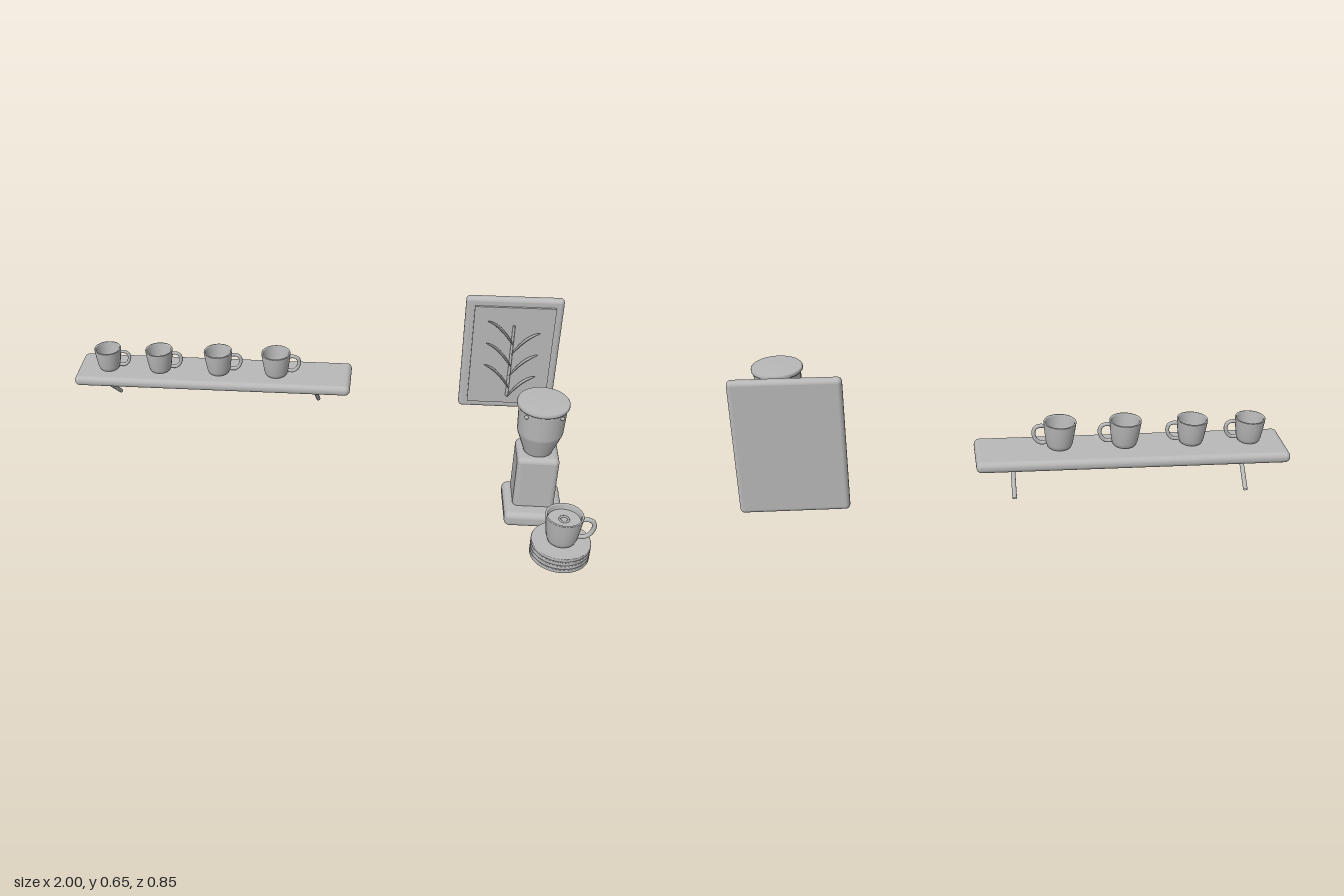
import * as THREE from 'three';
import { RoundedBoxGeometry } from 'three/addons/geometries/RoundedBoxGeometry.js';

const clay = new THREE.MeshStandardMaterial({ color: 0xb8b8b8, side: THREE.DoubleSide });
clay.name = 'warm grey clay';

function part(name, geometry, x = 0, y = 0, z = 0) {
  const mesh = new THREE.Mesh(geometry, clay);
  mesh.name = name;
  mesh.position.set(x, y, z);
  return mesh;
}

const box = (w, h, d, r) => new RoundedBoxGeometry(w, h, d, 4, r);

const lathe = (points, segments = 40) =>
  new THREE.LatheGeometry(points.map(([r, y]) => new THREE.Vector2(r, y)), segments);

// Hollow cup with a loop handle on its +x side
function makeCup(name, x, y, z, scale) {
  const cup = new THREE.Group();
  cup.name = name;
  cup.add(part('cupBowl', lathe([
    [0, 0], [0.044, 0], [0.05, 0.006], [0.056, 0.022], [0.063, 0.07], [0.068, 0.113],
    [0.0675, 0.116], [0.062, 0.116], [0.06, 0.112], [0.055, 0.07], [0.048, 0.024], [0.04, 0.014], [0, 0.012],
  ])));
  const loop = new THREE.CatmullRomCurve3([
    [0.062, 0.096], [0.082, 0.099], [0.102, 0.09], [0.109, 0.066], [0.1, 0.039], [0.08, 0.022], [0.054, 0.022],
  ].map(([px, py]) => new THREE.Vector3(px, py, 0)));
  cup.add(part('cupHandle', new THREE.TubeGeometry(loop, 32, 0.0085, 10)));
  cup.position.set(x, y, z);
  cup.scale.setScalar(scale);
  return cup;
}

// Wall shelf on two diagonal struts, with a row of cups
function makeShelf() {
  const shelf = new THREE.Group();
  shelf.name = 'cupShelf';
  shelf.add(part('shelfBoard', box(1.09, 0.041, 0.2, 0.019), -0.455, 0.3005, -0.323));
  for (const x of [-0.862, -0.044]) {
    const strut = new THREE.LineCurve3(new THREE.Vector3(x, 0.285, -0.245), new THREE.Vector3(x, 0.161, -0.387));
    shelf.add(part('shelfStrut', new THREE.TubeGeometry(strut, 1, 0.008, 10)));
  }
  [[-0.874, 0.77], [-0.669, 0.79], [-0.434, 0.82], [-0.205, 0.84]].forEach(([x, s]) =>
    shelf.add(makeCup('shelfCup', x, 0.321, -0.312, s)));
  return shelf;
}

// Leaf: a sphere bent along an arching midrib and flattened
function leafGeometry() {
  const rib = new THREE.QuadraticBezierCurve(
    new THREE.Vector2(0, 0), new THREE.Vector2(0.045, 0.082), new THREE.Vector2(0.102, 0.1));
  const geometry = new THREE.SphereGeometry(1, 20, 16);
  const pos = geometry.attributes.position;
  for (let i = 0; i < pos.count; i++) {
    const t = THREE.MathUtils.clamp((pos.getY(i) + 1) / 2, 0, 1);
    const p = rib.getPoint(t);
    const d = rib.getTangent(t);
    const across = pos.getX(i) * 0.006 - pos.getZ(i) * 0.007;
    pos.setXYZ(i, p.x + d.y * across, p.y - d.x * across, pos.getZ(i) * 0.02);
  }
  geometry.computeVertexNormals();
  return geometry;
}

// Framed relief of a leafy sprig
function makePicture() {
  const picture = new THREE.Group();
  picture.name = 'botanicalPicture';
  picture.add(part('frameBoard', box(0.373, 0.496, 0.036, 0.016), 0.711, 0.405, -0.399));
  picture.add(part('innerPanel', new THREE.BoxGeometry(0.31, 0.432, 0.012), 0.713, 0.405, -0.378));
  picture.add(part('sprigStem', new THREE.CylinderGeometry(0.005, 0.006, 0.32, 10), 0.713, 0.385, -0.369));
  const leaf = leafGeometry();
  for (let i = 0; i < 3; i++) {
    for (const side of [-1, 1]) {
      const y = (side < 0 ? 0.468 : 0.422) - i * 0.098;
      const mesh = part('sprigLeaf', leaf, 0.713, y, -0.356);
      mesh.scale.x = side;
      picture.add(mesh);
    }
  }
  return picture;
}

// Grinder: base, body, flared hopper, lid and two studs
function makeGrinder() {
  const grinder = new THREE.Group();
  grinder.name = 'grinder';
  grinder.add(part('grinderBase', box(0.214, 0.06, 0.214, 0.022), 0, 0.04, 0.023));
  grinder.add(part('grinderBody', box(0.152, 0.225, 0.15, 0.02), 0, 0.168, 0));
  grinder.add(part('hopper', lathe([
    [0, 0.275], [0.051, 0.275], [0.054, 0.285], [0.081, 0.36], [0.083, 0.372], [0.087, 0.477],
  ])));
  grinder.add(part('hopperLid', lathe([
    [0, 0.474], [0.092, 0.474], [0.094, 0.477], [0.094, 0.486], [0.091, 0.49], [0, 0.49],
  ])));
  for (const side of [-1, 1]) {
    const stud = part('hopperStud', new THREE.SphereGeometry(0.008, 12, 8), side * 0.063, 0.459, 0.063);
    stud.scale.y = 0.75;
    grinder.add(stud);
  }
  grinder.position.set(0.794, 0, 0.065);
  return grinder;
}

// Stacked plates carrying a filled cup
function makePlateStack() {
  const stack = new THREE.Group();
  stack.name = 'plateStack';
  for (let i = 0; i < 4; i++) {
    stack.add(part('plate', lathe([
      [0, 0], [0.104, 0], [0.1065, 0.002], [0.1065, 0.012], [0.104, 0.0145], [0, 0.0145],
    ], 48), 0, i * 0.0168, 0));
  }
  const cup = makeCup('servedCup', 0, 0.064, 0, 1);
  cup.add(part('drinkSurface', new THREE.CylinderGeometry(0.058, 0.056, 0.006, 32), 0, 0.092, 0));
  const swirl = part('drinkSwirl', new THREE.TorusGeometry(0.016, 0.004, 8, 24), 0, 0.096, 0);
  swirl.rotation.x = Math.PI / 2;
  cup.add(swirl);
  stack.add(cup);
  stack.position.set(0.879, 0, 0.317);
  return stack;
}

export function createModel() {
  const model = new THREE.Group();
  model.name = 'cafeCorner';
  model.add(makeShelf(), makePicture(), makeGrinder(), makePlateStack());
  return model;
}
